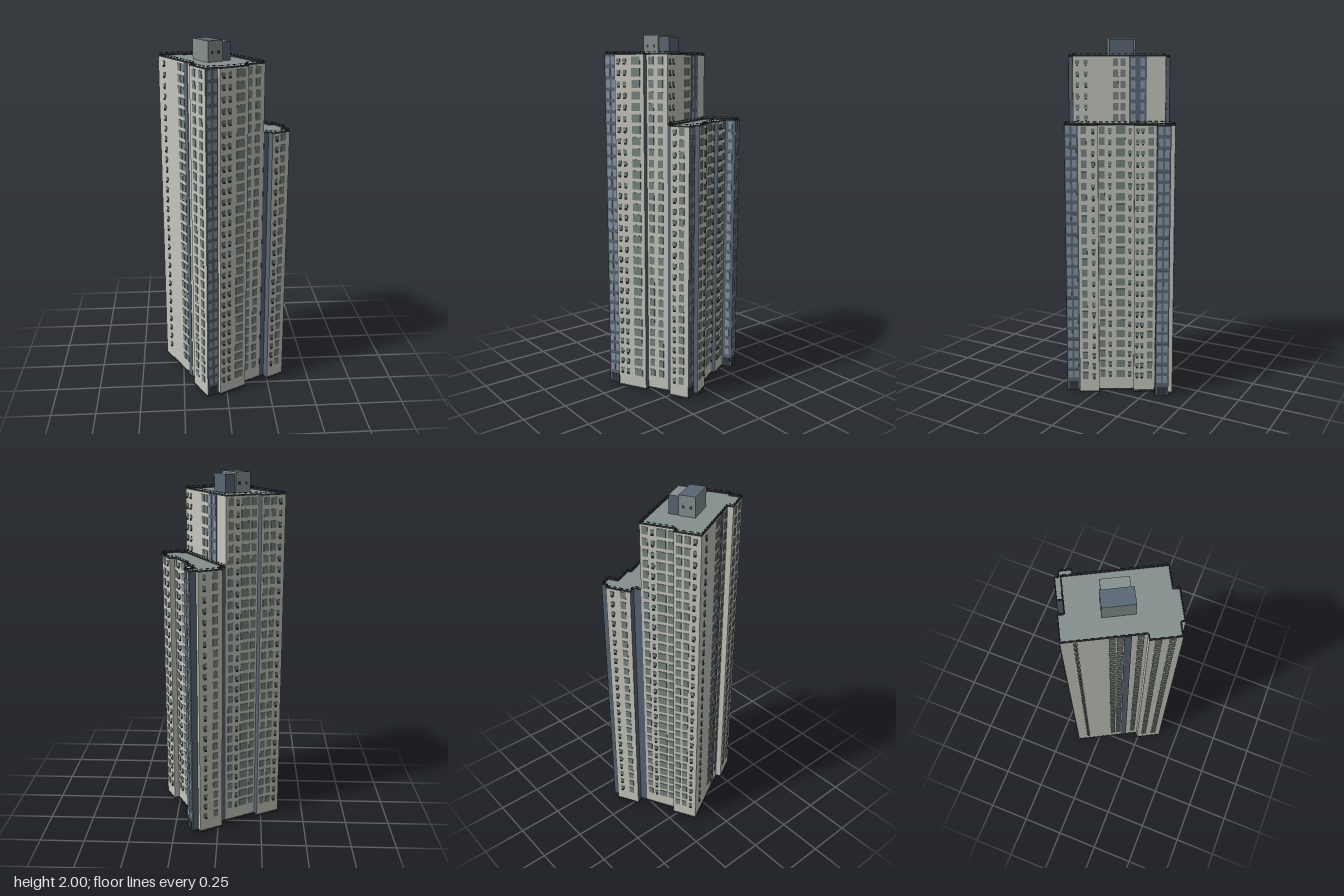
import * as THREE from 'three';
import { mergeGeometries } from 'three/addons/utils/BufferGeometryUtils.js';

const mat = (name, color) => Object.assign(new THREE.MeshStandardMaterial({ color }), { name });
const BASE = 0.07, FLOOR = 0.0607;
// window kinds: [width, height]
const KIND = { s: [0.02, 0.022], m: [0.03, 0.04], w: [0.05, 0.042], b: [0.024, 0.042] };

// Each entry: corner x, corner z, wall colour to the next corner, window columns [fraction, kind]
const TOWER = [
  [-0.25, -0.28, 'wall', [[0.22, 's'], [0.5, 'm'], [0.8, 'm']]],
  [-0.106, -0.28, 'slate', []],
  [-0.106, -0.247, 'wall', [[0.14, 'm'], [0.4, 'w'], [0.64, 's'], [0.85, 'm']]],
  [0.088, -0.247, 'wall', [[0.46, 'm'], [0.54, 'm'], [0.86, 's'], [0.95, 's']]],
  [0.088, 0.27, 'wall', [[0.34, 'm'], [0.78, 'm']]],
  [-0.036, 0.27, 'slate', []],
  [-0.036, 0.303, 'wall', [[0.27, 'w'], [0.66, 's'], [0.87, 's']]],
  [-0.209, 0.303, 'wall', []],
  [-0.209, 0.282, 'slate', [[0.25, 'b'], [0.72, 'b']]],
  [-0.282, 0.282, 'wall', [[0.3, 'm'], [0.72, 'm']]],
  [-0.282, 0.125, 'wall', []],
  [-0.25, 0.125, 'wall', [[0.08, 'm'], [0.32, 'm'], [0.41, 'm'], [0.83, 's']]],
];
const WING = [
  [0.088, -0.247, 'slate', []],
  [0.13, -0.247, 'slate', []],
  [0.13, -0.291, 'wall', [[0.3, 'm'], [0.75, 's']]],
  [0.27, -0.291, 'wall', []],
  [0.27, -0.267, 'slate', []],
  [0.306, -0.267, 'slate', [[0.27, 'b'], [0.74, 'b']]],
  [0.306, -0.193, 'slate', [[0.5, 'b']]],
  [0.245, -0.193, 'wall', [[0.25, 'm'], [0.62, 's'], [0.85, 's']]],
  [0.245, -0.072, 'slate', []],
  [0.225, -0.072, 'wall', [[0.12, 's'], [0.38, 'w'], [0.68, 's'], [0.9, 'm']]],
  [0.225, 0.125, 'wall', []],
  [0.256, 0.125, 'wall', [[0.25, 's'], [0.7, 'm']]],
  [0.256, 0.236, 'slate', []],
  [0.23, 0.236, 'slate', [[0.27, 'b'], [0.74, 'b']]],
  [0.23, 0.31, 'wall', [[0.38, 'm'], [0.75, 's']]],
  [0.118, 0.31, 'slate', []],
  [0.118, 0.271, 'slate', []],
  [0.088, 0.271, null, []],
];

export function createModel() {
  const M = {
    wall: mat('pale wall', 0xc6c6be),
    slate: mat('slate blue wall', 0x596675),
    roof: mat('roof grey', 0x84908e),
    glass: mat('window grey', 0x76837f),
    blueGlass: mat('window blue grey', 0x8795a2),
    dark: mat('dark trim', 0x34393d),
  };
  const building = new THREE.Group();
  building.name = 'building';
  building.rotation.y = 0.494;

  function addPart(parent, name, material, geos) {
    if (!geos.length) return;
    const mesh = new THREE.Mesh(mergeGeometries(geos), material);
    mesh.name = name;
    parent.add(mesh);
  }

  // flat cap cut to the outline, facing up or down
  function cap(ring, y, up) {
    const s = up ? -1 : 1;
    const shape = new THREE.Shape(ring.map(([x, z]) => new THREE.Vector2(x, s * z)));
    return new THREE.ShapeGeometry(shape).rotateX(s * Math.PI / 2).translate(0, y, 0);
  }

  function block(name, ring, height, floors, sharedEdge) {
    const g = new THREE.Group();
    g.name = name;
    const parts = { wall: [], slate: [], glass: [], blueGlass: [], plinth: [], sills: [], rail: [] };

    ring.forEach(([x, z, colour, columns], i) => {
      const [x2, z2] = ring[(i + 1) % ring.length];
      const dx = x2 - x, dz = z2 - z, len = Math.hypot(dx, dz);
      const nx = dz / len, nz = -dx / len, turn = Math.atan2(nx, nz);
      // put a geometry at fraction t along the wall, at height y, pushed out by off
      const place = (geo, t, y, off) =>
        geo.rotateY(turn).translate(x + dx * t + nx * off, y, z + dz * t + nz * off);
      const box = (w, h, d, t, y, off) => place(new THREE.BoxGeometry(w, h, d), t, y, off);

      // parapet with short posts and broken handrail
      parts.rail.push(box(len, 0.008, 0.006, 0.5, height + 0.004, -0.002));
      const n = Math.max(1, Math.round(len / 0.035));
      for (let k = 0; k < n; k++) {
        const t = (k + 0.5) / n;
        parts.rail.push(box(0.003, 0.012, 0.003, t, height + 0.01, -0.002));
        parts.rail.push(box(len / n * 0.6, 0.003, 0.004, t, height + 0.016, -0.002));
      }
      if (!colour) return;

      // wall and dark plinth
      const y0 = i === sharedEdge ? 1.5 : 0;
      parts[colour].push(place(new THREE.PlaneGeometry(len, height - y0), 0.5, (height + y0) / 2, 0));
      if (!y0) parts.plinth.push(box(len, 0.01, 0.003, 0.5, 0.005, 0));

      // window columns, one window per floor
      for (const [t, kind] of columns) {
        const [w, h] = KIND[kind];
        for (let f = y0 ? 24 : 0; f < floors; f++) {
          const y = BASE + (f + 0.5) * FLOOR;
          parts[colour === 'slate' ? 'blueGlass' : 'glass'].push(box(w, h, 0.004, t, y, 0.001));
          if (kind === 's') parts.sills.push(box(0.012, 0.008, 0.008, t, y - h / 2 - 0.005, 0.003));
        }
      }
      // dark entrance at the foot of glazed slate bays
      if (colour === 'slate' && columns.length)
        parts.plinth.push(box(len * 0.7, 0.045, 0.004, 0.5, 0.033, 0.001));
      // slate strips set on the long walls
      if (i === sharedEdge) {
        parts.slate.push(box(0.097, height - 1.5, 0.006, 0.3, (height + 1.5) / 2, 0));
        for (let f = 24; f < floors; f++) for (const t of [0.25, 0.35])
          parts.blueGlass.push(box(0.024, 0.042, 0.004, t, BASE + (f + 0.5) * FLOOR, 0.003));
      }
      if (name === 'tower' && i === ring.length - 1)
        parts.slate.push(box(0.035, height, 0.006, 0.23, height / 2, 0));
    });

    addPart(g, 'paleWalls', M.wall, parts.wall);
    addPart(g, 'slateWalls', M.slate, parts.slate);
    addPart(g, 'windows', M.glass, parts.glass);
    addPart(g, 'bayWindows', M.blueGlass, parts.blueGlass);
    addPart(g, 'plinth', M.dark, parts.plinth);
    addPart(g, 'windowUnits', M.dark, parts.sills);
    addPart(g, 'parapetRail', M.dark, parts.rail);
    addPart(g, 'roof', M.roof, [cap(ring, height, true)]);
    addPart(g, 'underside', M.dark, [cap(ring, 0, false)]);
    building.add(g);
  }
  block('tower', TOWER, 1.89, 30, 3);
  block('wing', WING, 1.52, 24, -1);

  // rooftop machine rooms: box sides, then top
  function room(name, x0, x1, z0, z1, top, side, lid) {
    const geo = new THREE.BoxGeometry(x1 - x0, top - 1.89, z1 - z0);
    const mesh = new THREE.Mesh(geo, [side, side, lid, side, side, side]);
    mesh.position.set((x0 + x1) / 2, (top + 1.89) / 2, (z0 + z1) / 2);
    mesh.name = name;
    building.add(mesh);
  }
  room('machineRoom', -0.145, -0.055, -0.078, 0.083, 2, M.roof, M.slate);
  room('stairRoom', -0.055, 0.003, -0.071, 0.069, 1.99, M.slate, M.roof);
  const vents = [];
  for (const z of [-0.078, 0.083]) for (const x of [-0.12, -0.08])
    vents.push(new THREE.BoxGeometry(0.014, 0.016, 0.004).translate(x, 1.94, z));
  addPart(building, 'machineRoomWindows', M.dark, vents);

  const model = new THREE.Group();
  model.name = 'apartmentTower';
  model.add(building);
  return model;
}
